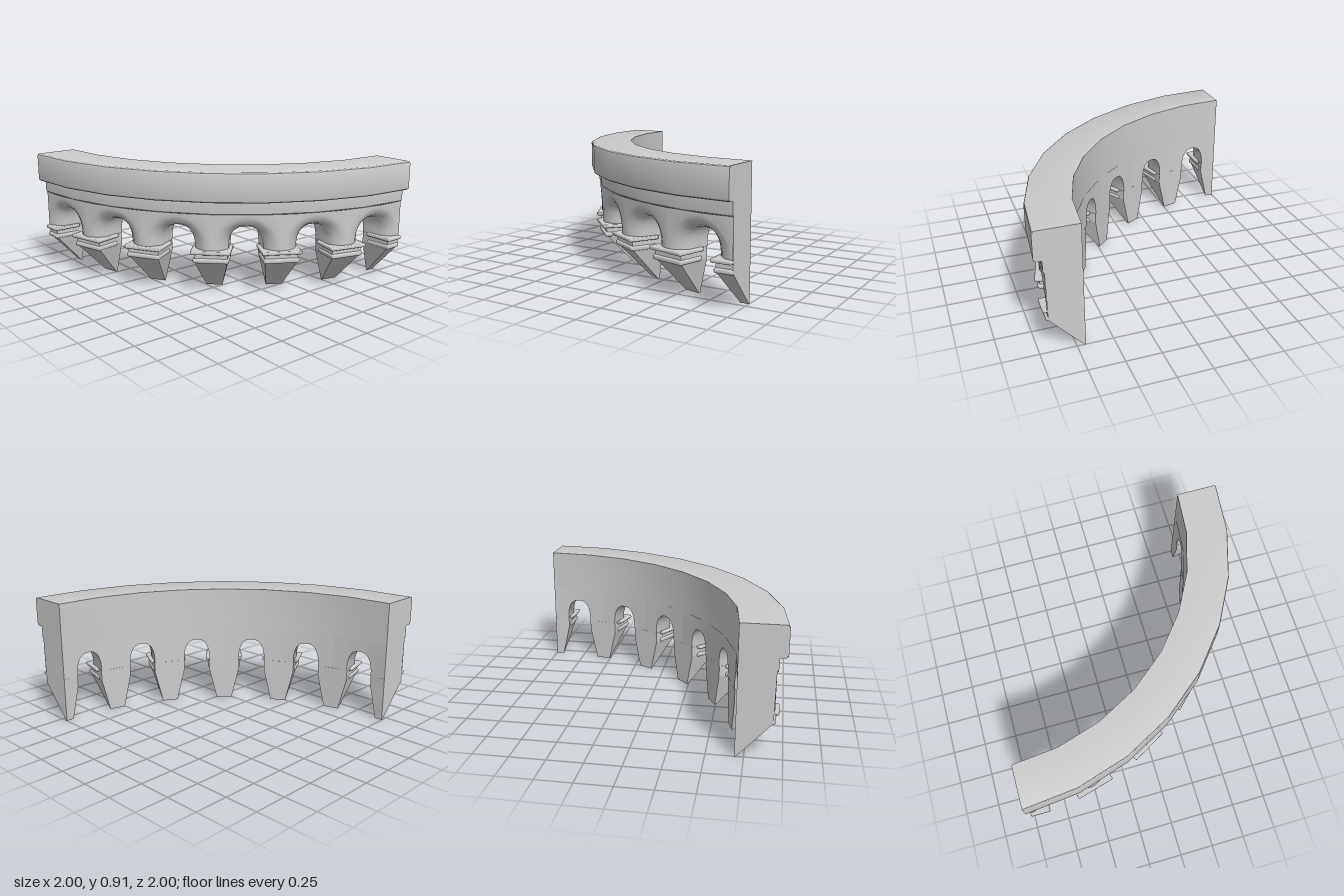
import * as THREE from 'three';
import { toCreasedNormals } from 'three/addons/utils/BufferGeometryUtils.js';
import { RoundedBoxGeometry } from 'three/addons/geometries/RoundedBoxGeometry.js';
import { ConvexGeometry } from 'three/addons/geometries/ConvexGeometry.js';

const STEP = Math.PI / 12;           // angle between corbels
const BAYS = 6;
const R_IN = 1.69, R_WALL = 1.935;
const Y_SPRING = 0.33, Y_WALL = 0.6;

const mat = new THREE.MeshStandardMaterial({ color: 0xcccccc, side: THREE.DoubleSide });

function mesh(name, geometry) {
  const m = new THREE.Mesh(geometry, mat);
  m.name = name;
  return m;
}

// Parapet and the narrower band below it, swept a quarter turn
function parapet() {
  const profile = [
    [R_IN, 0.595], [1.93, 0.595], [1.943, 0.605], [1.945, 0.62], [1.945, 0.695],
    [1.985, 0.695], [1.996, 0.702], [2, 0.715],
    [2, 0.893], [1.996, 0.904], [1.985, 0.91], [R_IN, 0.91], [R_IN, 0.595],
  ].map(([r, y]) => new THREE.Vector2(r, y));
  return toCreasedNormals(new THREE.LatheGeometry(profile, 8, 0, Math.PI / 2), 0.6);
}

// One bay: back wall, arched soffit, splayed front arch and spandrels
function archBay() {
  const N = 20;
  const at = (s, y, r) => [s, y, Math.sqrt(r * r - s * s)];
  const ring = (r, w, h, power, top) => {
    const edge = r * Math.sin(STEP / 2);
    const pts = [[edge, Y_SPRING]];
    for (let i = 0; i <= N; i++) {
      const a = Math.PI * i / N, c = Math.cos(a);
      pts.push([Math.sign(c) * w * Math.abs(c) ** power,
        Y_SPRING + h * Math.max(0, Math.sin(a)) ** power]);
    }
    pts.push([-edge, Y_SPRING]);
    return pts.map(([s, y]) => at(s, top ? Y_WALL : y, r));
  };
  const rings = [
    ring(R_IN, 0.102, 0.17, 0.8, true),
    ring(R_IN, 0.102, 0.17, 0.8),
    ring(1.865, 0.125, 0.17, 0.8),
    ring(1.905, 0.165, 0.19, 0.85),
    ring(1.928, 0.205, 0.22, 0.9),
    ring(R_WALL, 0.24, 0.25, 1),
    ring(R_WALL, 0.24, 0.25, 1, true),
  ];
  const n = N + 3, index = [];
  for (let j = 0; j < rings.length - 1; j++) {
    for (let i = 0; i < n - 1; i++) {
      const a = j * n + i, b = a + n;
      index.push(a, b, a + 1, b, b + 1, a + 1);
    }
  }
  const g = new THREE.BufferGeometry();
  g.setAttribute('position', new THREE.Float32BufferAttribute(rings.flat(2), 3));
  g.setIndex(index);
  g.computeVertexNormals();
  return toCreasedNormals(g, 0.8);
}

// Corbel with its mouldings; lo and hi (-1, 0 or 1) cut it in half at the ends
function corbel(lo, hi) {
  const g = new THREE.Group();
  g.name = 'corbel';
  const points = [];
  for (const k of [lo, hi]) {
    for (const [half, y, z] of [[0.06, 0, R_IN], [0.06, 0, 1.7],
      [0.12, 0.25, R_IN], [0.12, 0.25, 1.93]]) {
      points.push(new THREE.Vector3(k * half, y, z));
    }
  }
  g.add(mesh('corbelWedge', new ConvexGeometry(points)));

  const block = (name, half, y0, y1, z0, z1, radius) => {
    const size = [half * (hi - lo), y1 - y0, z1 - z0];
    const geo = radius ? new RoundedBoxGeometry(...size, 2, radius) : new THREE.BoxGeometry(...size);
    const m = mesh(name, geo);
    m.position.set(half * (hi + lo) / 2, (y0 + y1) / 2, (z0 + z1) / 2);
    g.add(m);
  };
  block('corbelNeck', 0.12, 0.25, 0.329, R_IN, 1.93);
  block('lowerMoulding', 0.13, 0.24, 0.275, 1.74, 1.945, 0.014);
  block('corbelCap', 0.145, 0.308, 0.334, 1.74, 1.962, 0.009);
  return g;
}

// Flat face closing either end of the ring
function endFace() {
  const shape = new THREE.Shape([
    [R_IN, 0], [1.7, 0], [1.93, 0.25], [R_WALL, Y_WALL], [1.945, 0.62], [1.945, 0.695],
    [1.985, 0.695], [2, 0.715], [2, 0.893], [1.985, 0.91], [R_IN, 0.91],
  ].map(([r, y]) => new THREE.Vector2(r, y)));
  return new THREE.ShapeGeometry(shape).rotateY(-Math.PI / 2);
}

export function createModel() {
  const model = new THREE.Group();
  model.name = 'curvedArcadedParapet';
  const ringGroup = new THREE.Group();
  ringGroup.name = 'quarterRing';
  ringGroup.position.set(-1, 0, -1);
  model.add(ringGroup);

  ringGroup.add(mesh('parapet', parapet()));

  const bayGeometry = archBay();
  for (let i = 0; i < BAYS; i++) {
    const bay = mesh('archBay', bayGeometry);
    bay.rotation.y = (i + 0.5) * STEP;
    ringGroup.add(bay);
  }
  for (let i = 0; i <= BAYS; i++) {
    const c = corbel(i === 0 ? 0 : -1, i === BAYS ? 0 : 1);
    c.rotation.y = i * STEP;
    ringGroup.add(c);
  }

  // The first end faces -x, the second faces -z
  const endGeometry = endFace();
  for (const angle of [0, Math.PI / 2]) {
    const end = mesh('endFace', endGeometry);
    end.rotation.y = angle;
    ringGroup.add(end);
  }
  return model;
}
